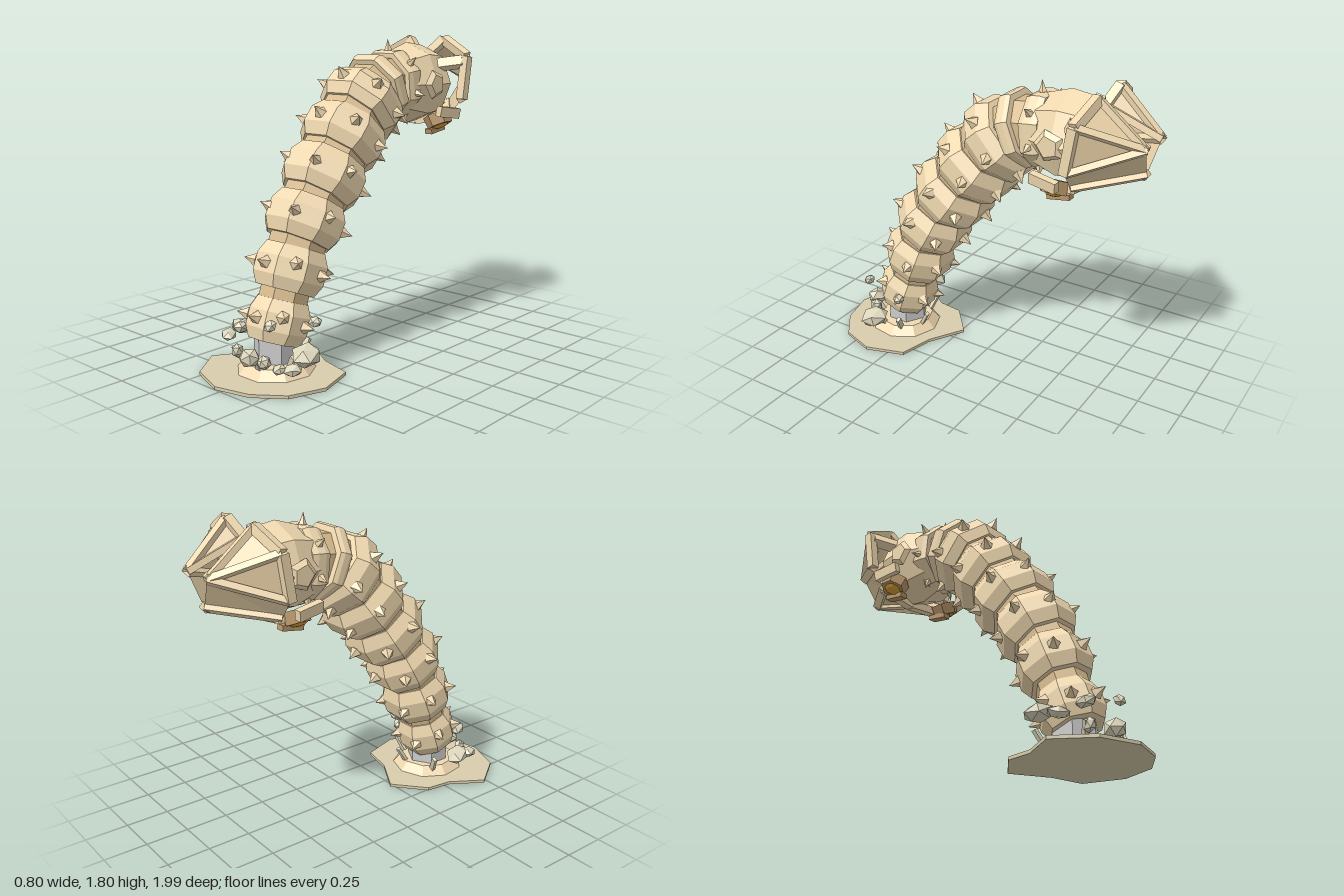
import * as THREE from 'three';

const mat = (color, side = THREE.FrontSide) =>
  new THREE.MeshStandardMaterial({ color, flatShading: true, side });
const shell = mat(0xf0d9b0), skin = mat(0xd6ba8e), sand = mat(0xd9cdac), stone = mat(0xdcd6bc);
const grey = mat(0xcccccc), pink = mat(0xd08090), amber = mat(0xd9a038), brown = mat(0xb8966a);
const plate = mat(0xe6cfa6, THREE.DoubleSide);
const V = (x, y, z) => new THREE.Vector3(x, y, z);
const UP = V(0, 1, 0);

let seed = 7;
const rnd = () => (seed = (seed * 16807) % 2147483647) / 2147483647;

function add(parent, name, geo, material, pos = V(0, 0, 0)) {
  const m = new THREE.Mesh(geo, material);
  m.name = name;
  m.position.copy(pos);
  parent.add(m);
  return m;
}

// Faceted ring: profile of [radius, height] pairs from bottom to top
const lathe = (profile, sides = 8, phi = Math.PI / sides) =>
  new THREE.LatheGeometry(profile.map(([r, y]) => new THREE.Vector2(r, y)), sides, phi);
const barrel = (r, h, end) =>
  lathe([[0, -h / 2], [r * end, -h / 2], [r, -h * 0.22], [r, h * 0.2], [r * end, h / 2], [0, h / 2]]);

// Box running between two points
function beam(parent, name, a, b, w, d, material = shell) {
  const dir = b.clone().sub(a);
  const m = add(parent, name, new THREE.BoxGeometry(w, dir.length(), d), material,
    a.clone().add(b).multiplyScalar(0.5));
  m.quaternion.setFromUnitVectors(UP, dir.normalize());
  return m;
}

// Thorn pointing along dir
function spike(parent, pos, dir, r, h) {
  const geo = lathe([[0, -0.025], [r, 0], [r * 0.55, h * 0.4], [0, h]], 5);
  const m = add(parent, 'spike', geo, shell, pos);
  m.quaternion.setFromUnitVectors(UP, dir.clone().normalize());
}

// Lumpy stone
function rock(parent, x, y, z, sx, sy, sz) {
  const m = add(parent, 'rock', new THREE.IcosahedronGeometry(1), stone, V(x, y, z));
  m.scale.set(sx, sy, sz);
  m.rotation.set(rnd() - 0.5, rnd() * 3, rnd() - 0.5);
}

function buildGround(g) {
  // Irregular slab of sand
  const outline = [[-0.4, 0.72], [-0.26, 0.92], [-0.04, 1], [0.17, 0.95], [0.33, 0.83], [0.4, 0.63],
    [0.33, 0.4], [0.13, 0.35], [-0.08, 0.225], [-0.26, 0.38], [-0.28, 0.53]];
  const shape = new THREE.Shape(outline.map(([x, z]) => new THREE.Vector2(x, -z)));
  const slab = new THREE.ExtrudeGeometry(shape, { depth: 0.018, bevelEnabled: false });
  add(g, 'groundSlab', slab.rotateX(-Math.PI / 2), sand);
  // Mound and the plain stem rising from it
  add(g, 'mound', lathe([[0.22, 0.015], [0.17, 0.07], [0, 0.075]], 9), shell, V(0.01, 0, 0.61));
  add(g, 'stem', new THREE.CylinderGeometry(0.125, 0.125, 0.15, 6), grey, V(0, 0.13, 0.6));
  // Thrown stones
  [[0.03, 0.14, 0.82, 0.07, 0.055, 0.055], [-0.28, 0.19, 0.59, 0.085, 0.045, 0.07],
    [-0.27, 0.17, 0.7, 0.065, 0.03, 0.045], [0.28, 0.17, 0.65, 0.09, 0.06, 0.085],
    [0.25, 0.1, 0.72, 0.055, 0.035, 0.04], [-0.11, 0.26, 0.75, 0.06, 0.035, 0.045],
    [0.15, 0.33, 0.78, 0.04, 0.03, 0.035], [0.21, 0.3, 0.51, 0.04, 0.03, 0.035],
    [0.1, 0.12, 0.78, 0.04, 0.04, 0.04], [-0.12, 0.13, 0.77, 0.035, 0.045, 0.035],
    [0.19, 0.1, 0.76, 0.04, 0.03, 0.04]].forEach((r) => rock(g, ...r));
  // Shards leaning out of the mound
  for (const deg of [20, 75, 130, 215, 285, 335]) {
    const a = THREE.MathUtils.degToRad(deg), c = Math.cos(a), s = Math.sin(a);
    beam(g, 'shard', V(c * 0.15, 0.03, 0.61 + s * 0.14), V(c * 0.23, 0.15, 0.61 + s * 0.21), 0.03, 0.02, stone);
  }
}

function buildBody(g) {
  // Each armour segment: z, y, radius, length
  const segs = [[0.58, 0.28, 0.18, 0.23], [0.485, 0.55, 0.21, 0.24], [0.37, 0.8, 0.228, 0.24],
    [0.22, 1.025, 0.242, 0.24], [0.06, 1.23, 0.25, 0.23], [-0.1, 1.405, 0.25, 0.21],
    [-0.225, 1.49, 0.222, 0.08], [-0.36, 1.51, 0.215, 0.11], [-0.53, 1.52, 0.2, 0.1]];
  const curve = new THREE.CatmullRomCurve3(segs.map(([z, y]) => V(0, y, z)));
  const tilt = (t) => { const d = curve.getTangent(t); return Math.atan2(d.z, d.y); };
  const n = segs.length - 1;
  segs.slice(0, n).forEach(([z, y, r, h], i) => {
    const seg = new THREE.Group();
    seg.name = i < 7 ? 'bodySegment' : 'neckCollar';
    seg.position.set(0, y, z);
    seg.rotation.x = tilt(i / n);
    g.add(seg);
    add(seg, 'armourRing', barrel(r, h, i < 6 ? 0.83 : 0.95), shell);
    // Thorns around the ring, staggered from one ring to the next
    if (i === 6) return;
    const count = 7, off = i === 2 || i === 3 ? Math.PI / count : 0;
    for (let k = 0; k < count; k++) {
      const a = off + (k / count) * Math.PI * 2, dir = V(Math.sin(a), 0, Math.cos(a));
      const yk = i < 6 && k % 2 ? 0.03 : 0;
      spike(seg, dir.clone().multiplyScalar(r * 0.93).setY(yk), dir, i < 7 ? 0.038 : 0.024, 0.065);
    }
  });
  // Softer joints between the rings
  for (let i = 0; i < n; i++) {
    const t = (i + 0.5) / n, r = Math.min(segs[i][2], segs[i + 1][2]) * 0.8;
    const j = add(g, 'joint', new THREE.CylinderGeometry(r, r, 0.16, 8, 1, false, Math.PI / 8), skin, curve.getPoint(t));
    j.rotation.x = tilt(t);
  }
}

// Panel fanned from the tip across the rim points
function panel(parent, tip, rim) {
  const pos = [];
  for (let i = 0; i + 1 < rim.length; i++) pos.push(...tip.toArray(), ...rim[i].toArray(), ...rim[i + 1].toArray());
  const geo = new THREE.BufferGeometry();
  geo.setAttribute('position', new THREE.Float32BufferAttribute(pos, 3));
  geo.computeVertexNormals();
  add(parent, 'petalPanel', geo, plate);
}

// Jaw petal: panel framed by beams along the rim and both edges
function petal(g, name, tip, rim) {
  const p = new THREE.Group();
  p.name = name;
  g.add(p);
  panel(p, tip, rim);
  for (let i = 0; i + 1 < rim.length; i++) beam(p, 'rimBeam', rim[i], rim[i + 1], 0.05, 0.05);
  rim.forEach((q, i) => {
    const outer = i === 0 || i === rim.length - 1;
    beam(p, outer ? 'edgeBeam' : 'midRib', q, tip, outer ? 0.05 : 0.04, 0.035);
  });
  return p;
}

function buildHead(g) {
  const head = new THREE.Group();
  head.name = 'head';
  g.add(head);
  const skull = add(head, 'skull',
    lathe([[0, -0.16], [0.195, -0.16], [0.245, 0], [0.225, 0.15], [0.15, 0.15], [0.1, 0.06]], 8, 0),
    shell, V(0, 1.51, -0.51));
  skull.rotation.x = -Math.PI / 2;
  // Mouth
  const mouth = add(head, 'mouth', new THREE.IcosahedronGeometry(0.13, 1), pink, V(0, 1.53, -0.63));
  mouth.scale.z = 0.75;
  for (let k = 0; k < 8; k++) {
    const a = (k / 8) * Math.PI * 2;
    const t = add(head, 'tooth', new THREE.ConeGeometry(0.02, 0.08, 4), grey,
      V(Math.cos(a) * 0.14, 1.52 + Math.sin(a) * 0.14, -0.69));
    t.rotation.x = -Math.PI / 2;
  }
  const chin = V(0, 1.37, -0.94);
  for (const s of [1, -1]) {
    // Side petal, with a web closing the gap down to the lower petal
    const tip = V(s * 0.1, 1.54, -0.97), low = V(s * 0.32, 1.42, -0.64);
    const side = petal(head, s > 0 ? 'leftPetal' : 'rightPetal', tip,
      [V(s * 0.04, 1.68, -0.68), V(s * 0.13, 1.77, -0.715), V(s * 0.32, 1.67, -0.68), low]);
    panel(side, tip, [low, V(s * 0.23, 1.31, -0.63), chin]);
    beam(head, 'petalHinge', V(s * 0.17, 1.62, -0.6), V(s * 0.3, 1.64, -0.67), 0.06, 0.06);
    // Cheek plate
    const cheek = add(head, 'cheekPlate', new THREE.CylinderGeometry(0.06, 0.09, 0.025, 5), shell, V(s * 0.235, 1.51, -0.5));
    cheek.rotation.z = -s * Math.PI / 2;
    // Eye: hexagonal socket with an amber lens, facing out and down
    const eye = new THREE.Group();
    eye.name = s > 0 ? 'leftEye' : 'rightEye';
    eye.position.set(s * 0.225, 1.3, -0.54);
    eye.quaternion.setFromUnitVectors(UP, V(s * 0.4, -0.91, 0).normalize());
    head.add(eye);
    add(eye, 'socket', new THREE.CylinderGeometry(0.075, 0.085, 0.07, 6), brown);
    add(eye, 'lens', new THREE.SphereGeometry(0.055, 8, 5), amber, V(0, 0.025, 0)).scale.y = 0.5;
    beam(head, 'browBeam', V(s * 0.3, 1.36, -0.44), V(s * 0.32, 1.34, -0.6), 0.04, 0.06);
    beam(head, 'lowerLid', V(s * 0.19, 1.23, -0.49), V(s * 0.19, 1.25, -0.62), 0.05, 0.03, brown);
  }
  petal(head, 'lowerPetal', chin, [V(-0.23, 1.31, -0.63), V(0, 1.28, -0.63), V(0.23, 1.31, -0.63)]);
}

export function createModel() {
  const g = new THREE.Group();
  g.name = 'burrowingWorm';
  buildGround(g);
  buildBody(g);
  buildHead(g);
  return g;
}
